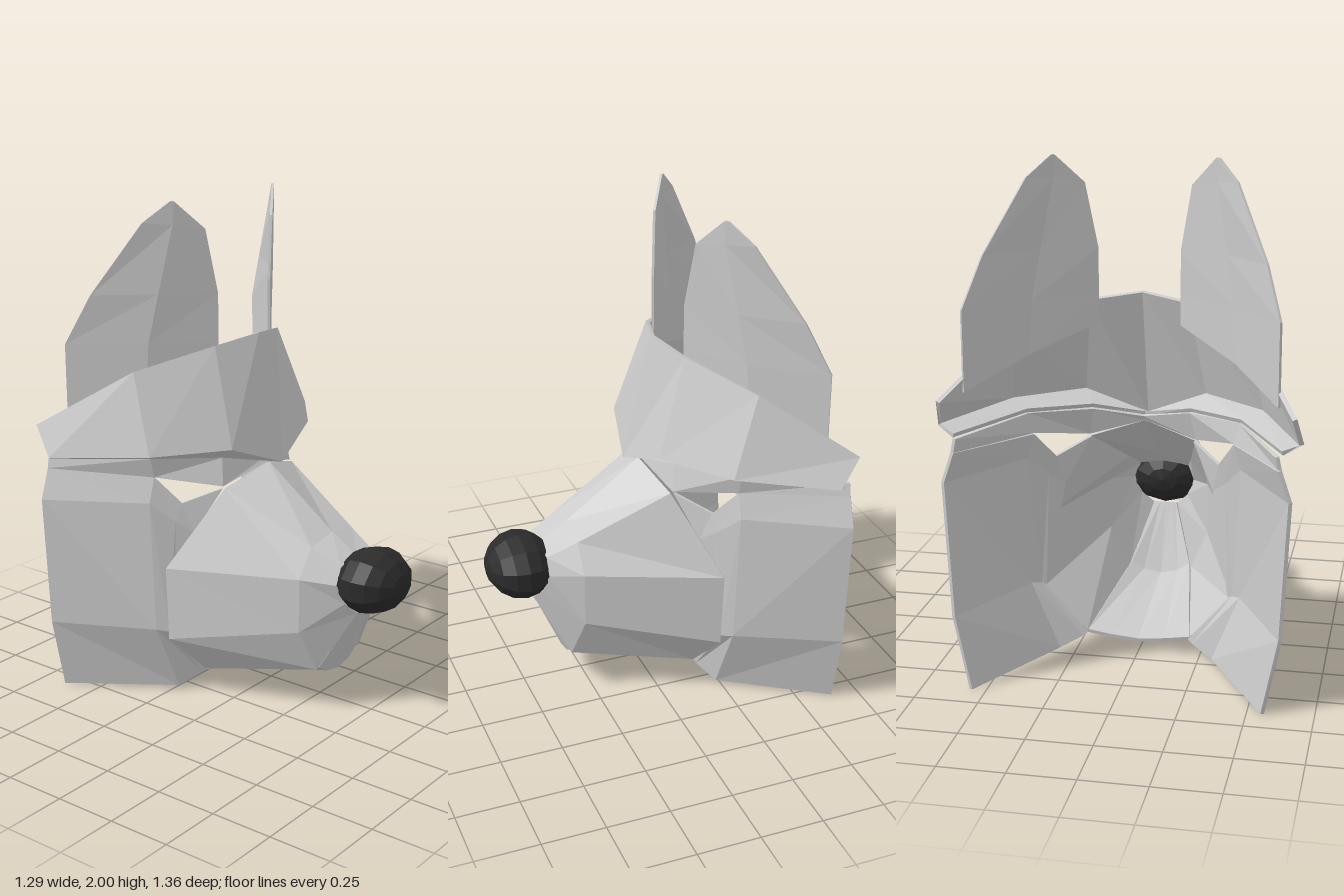
import * as THREE from 'three';

const grey = new THREE.MeshStandardMaterial({ color: 0xcccccc, flatShading: true, side: THREE.DoubleSide });
const dark = new THREE.MeshStandardMaterial({ color: 0x2b2b2b, flatShading: true });
const centre = new THREE.Vector3(-0.3, 0.6, 0);

// Thin plate: a grid of [x, y, z] rows, thickened inwards and closed round its border
function plate(name, rows, t = 0.015) {
  const R = rows.length, C = rows[0].length, N = R * C;
  const quad = (a, b, c, d) => [a, b, c, a, c, d];
  const face = [];
  for (let r = 0; r < R - 1; r++) {
    for (let c = 0; c < C - 1; c++) {
      const a = r * C + c;
      face.push(...quad(a, a + 1, a + C + 1, a + C));
    }
  }
  const geo = new THREE.BufferGeometry();
  const pts = rows.flat().map(p => new THREE.Vector3(...p));
  geo.setFromPoints(pts).setIndex(face);
  geo.computeVertexNormals();
  const normals = pts.map((p, i) => new THREE.Vector3().fromBufferAttribute(geo.attributes.normal, i));

  // Turn the grid so that it faces away from the middle of the head
  const facing = pts.reduce((s, p, i) => s + normals[i].dot(p.clone().sub(centre)), 0);
  const sign = facing < 0 ? -1 : 1;
  const inner = pts.map((p, i) => p.clone().addScaledVector(normals[i], -sign * t));

  const border = [];
  for (let c = 0; c < C; c++) border.push(c);
  for (let r = 1; r < R; r++) border.push(r * C + C - 1);
  for (let c = C - 2; c >= 0; c--) border.push((R - 1) * C + c);
  for (let r = R - 2; r > 0; r--) border.push(r * C);

  const index = [...face, ...face.map(i => i + N).reverse()];
  border.forEach((a, k) => {
    const b = border[(k + 1) % border.length];
    index.push(...quad(b, a, a + N, b + N));
  });
  if (sign < 0) index.reverse();
  const solid = new THREE.BufferGeometry().setFromPoints([...pts, ...inner]).setIndex(index).toNonIndexed();
  solid.computeVertexNormals();
  const mesh = new THREE.Mesh(solid, grey);
  mesh.name = name;
  return mesh;
}

// Completes a row that starts on the centre line with its mirror image
const both = row => [...row.slice(1).reverse().map(([x, y, z]) => [x, y, -z]), ...row];

export function createModel() {
  const model = new THREE.Group();
  model.name = 'dogMask';

  // Brow: sloping headband with a shelf underneath
  model.add(plate('brow', [
    [[-0.06, 1.465, 0], [-0.12, 1.44, 0.2], [-0.31, 1.36, 0.46], [-0.64, 1.14, 0.66]],
    [[0.055, 0.955, 0], [0, 1.055, 0.25], [-0.2, 1.05, 0.505], [-0.56, 1.025, 0.68]],
    [[-0.03, 0.955, 0], [-0.09, 0.995, 0.2], [-0.27, 1.01, 0.42], [-0.61, 0.995, 0.61]],
  ].map(both), 0.018));

  // Band between the brow and the eyes
  model.add(plate('eyeBand', [
    [[-0.03, 0.96, 0], [-0.09, 0.995, 0.2], [-0.27, 1.01, 0.42], [-0.64, 1.0, 0.6]],
    [[-0.02, 0.942, 0], [-0.07, 0.885, 0.22], [-0.27, 0.93, 0.4], [-0.64, 0.95, 0.61]],
  ].map(both)));

  // Muzzle: three cross-sections from the face to the nose, open along the jaw
  model.add(plate('muzzle', [
    [[-0.01, 0.945, 0], [-0.06, 0.88, 0.22], [-0.22, 0.56, 0.4], [-0.21, 0.26, 0.4], [-0.17, 0.075, 0.22]],
    [[0.3, 0.715, 0], [0.3, 0.69, 0.14], [0.3, 0.58, 0.22], [0.3, 0.36, 0.22], [0.335, 0.185, 0.145]],
    [[0.42, 0.64, 0], [0.42, 0.63, 0.11], [0.42, 0.56, 0.14], [0.44, 0.48, 0.11], [0.465, 0.43, 0.06]],
  ].map(both)));

  // Lower jaw: underside and chin
  model.add(plate('lowerJaw', [
    [[-0.17, 0.045, 0], [-0.17, 0.055, 0.11], [-0.17, 0.07, 0.21]],
    [[0.335, 0.14, 0], [0.335, 0.155, 0.075], [0.335, 0.19, 0.13]],
    [[0.46, 0.43, 0], [0.46, 0.43, 0.025], [0.46, 0.43, 0.05]],
  ].map(both)));

  // Nose: faceted ball with its pole pointing forwards
  const noseGeo = new THREE.SphereGeometry(1, 10, 8).rotateZ(-Math.PI / 2).scale(0.14, 0.13, 0.17);
  const nose = new THREE.Mesh(noseGeo, dark);
  nose.name = 'nose';
  nose.position.set(0.5, 0.56, 0);
  model.add(nose);

  // The ear is bowed: its depth follows from its distance to the middle
  const ear = (z, y) => {
    const u = z - 0.165;
    return [-0.13 - 0.45 * u - 1.2 * u * u, y, z];
  };

  // Cheek and ear, made once and mirrored for the other side
  for (const side of [1, -1]) {
    const half = new THREE.Group();
    half.name = side > 0 ? 'nearSide' : 'farSide';
    half.scale.z = side;
    half.add(plate('cheek', [
      [[-0.64, 0.95, 0.61], [-0.27, 0.93, 0.4], [-0.19, 0.82, 0.33], [-0.075, 0.875, 0.215]],
      [[-0.64, 0.83, 0.65], [-0.27, 0.83, 0.43], [-0.2, 0.75, 0.36], [-0.15, 0.7, 0.305]],
      [[-0.64, 0.3, 0.625], [-0.25, 0.3, 0.43], [-0.21, 0.29, 0.395], [-0.2, 0.28, 0.375]],
      [[-0.64, 0.005, 0.565], [-0.23, 0.02, 0.32], [-0.18, 0.06, 0.23], [-0.17, 0.075, 0.21]],
    ]));
    half.add(plate('ear', [
      [ear(0.59, 1.15), ear(0.4, 1.25), ear(0.165, 1.35)],
      [ear(0.59, 1.46), ear(0.39, 1.46), ear(0.165, 1.46)],
      [ear(0.53, 1.65), ear(0.36, 1.65), ear(0.165, 1.64)],
      [ear(0.4, 1.92), ear(0.315, 1.91), ear(0.21, 1.89)],
      [ear(0.322, 1.997), ear(0.315, 2.0), ear(0.308, 1.997)],
    ], 0.01));
    model.add(half);
  }
  return model;
}
